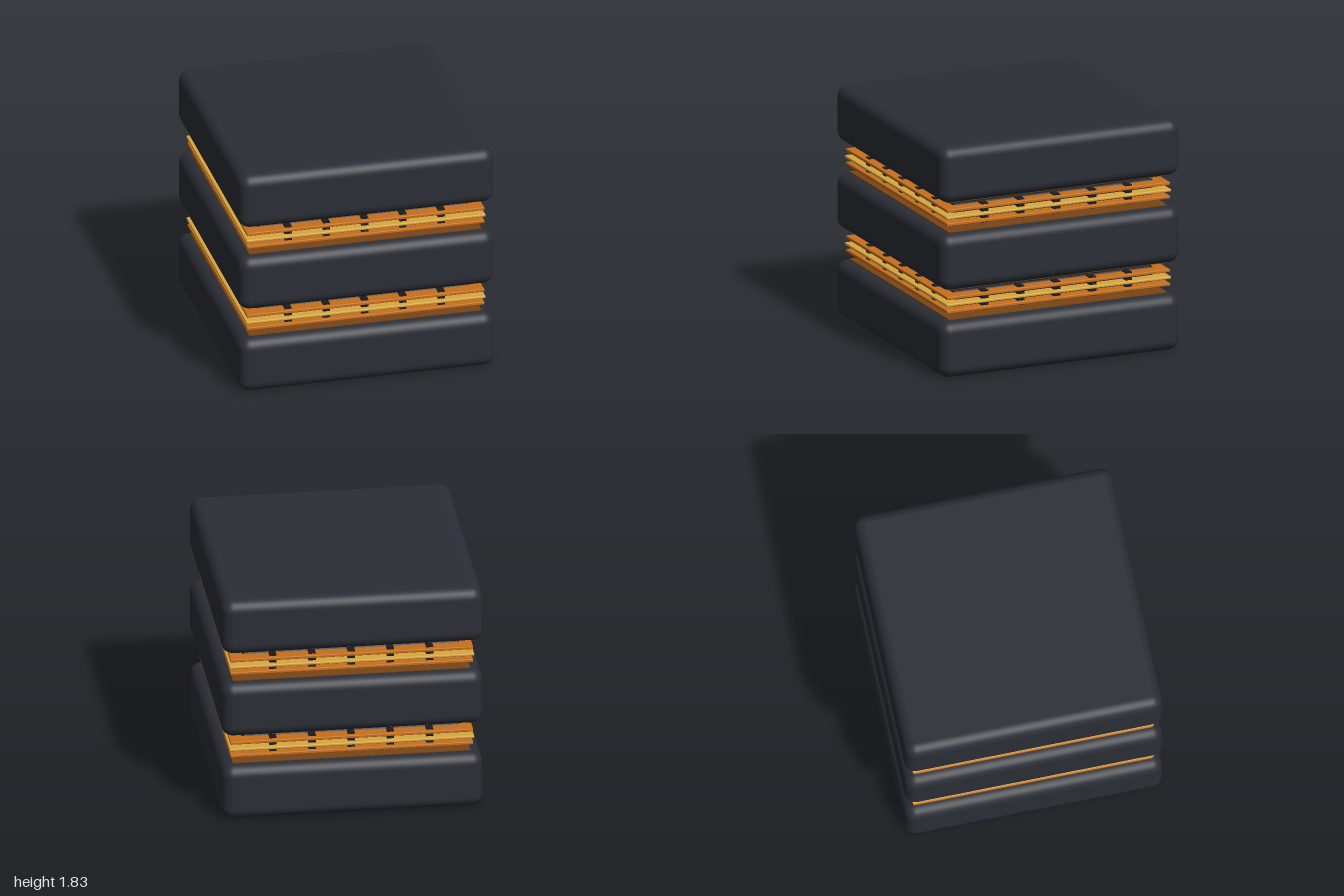
import * as THREE from 'three';
import { RoundedBoxGeometry } from 'three/addons/geometries/RoundedBoxGeometry.js';

const material = (color) => new THREE.MeshStandardMaterial({ color });

export function createModel() {
  const model = new THREE.Group();
  const slabMat = material(0x2b2e36);
  const coreMat = material(0x1b1b1e);
  const copperMat = material(0xc8701c);
  const goldMat = material(0xd8a840);
  const linerMat = material(0x7a4516);

  // square plate, centred at height y
  function plate(parent, name, size, height, y, radius, mat) {
    const geo = radius
      ? new RoundedBoxGeometry(size, height, size, 5, radius)
      : new THREE.BoxGeometry(size, height, size);
    const mesh = new THREE.Mesh(geo, mat);
    mesh.name = name;
    mesh.position.y = y;
    parent.add(mesh);
  }

  // three thick rounded slabs
  const pitch = 0.69, slabHeight = 0.445;
  for (let i = 0; i < 3; i++) {
    plate(model, 'slab', 2, slabHeight, slabHeight / 2 + i * pitch, 0.09, slabMat);
  }

  // layered connector in each gap
  const toothGeo = new THREE.BoxGeometry(0.055, 0.15, 0.07);
  for (let i = 0; i < 2; i++) {
    const layer = new THREE.Group();
    layer.name = 'connectorLayer';
    layer.position.y = 0.567 + i * pitch;
    model.add(layer);

    // thin liners against the slabs
    plate(layer, 'lowerLiner', 1.82, 0.012, -0.12, 0, linerMat);
    plate(layer, 'upperLiner', 1.82, 0.012, 0.12, 0, linerMat);

    // dark core with copper and gold sheets
    plate(layer, 'core', 1.68, 0.164, 0, 0.03, coreMat);
    plate(layer, 'lowerCopperSheet', 1.86, 0.024, -0.053, 0.006, copperMat);
    plate(layer, 'goldSheet', 1.875, 0.022, 0.001, 0.008, goldMat);
    plate(layer, 'upperCopperSheet', 1.86, 0.024, 0.055, 0.006, copperMat);

    // dark teeth along all four edges
    for (let side = 0; side < 4; side++) {
      const row = new THREE.Group();
      row.name = 'toothRow';
      row.rotation.y = side * Math.PI / 2;
      for (let k = -2; k <= 2; k++) {
        const tooth = new THREE.Mesh(toothGeo, coreMat);
        tooth.name = 'tooth';
        tooth.position.set(k * 0.3, 0, 0.865);
        row.add(tooth);
      }
      layer.add(row);
    }
  }
  return model;
}
